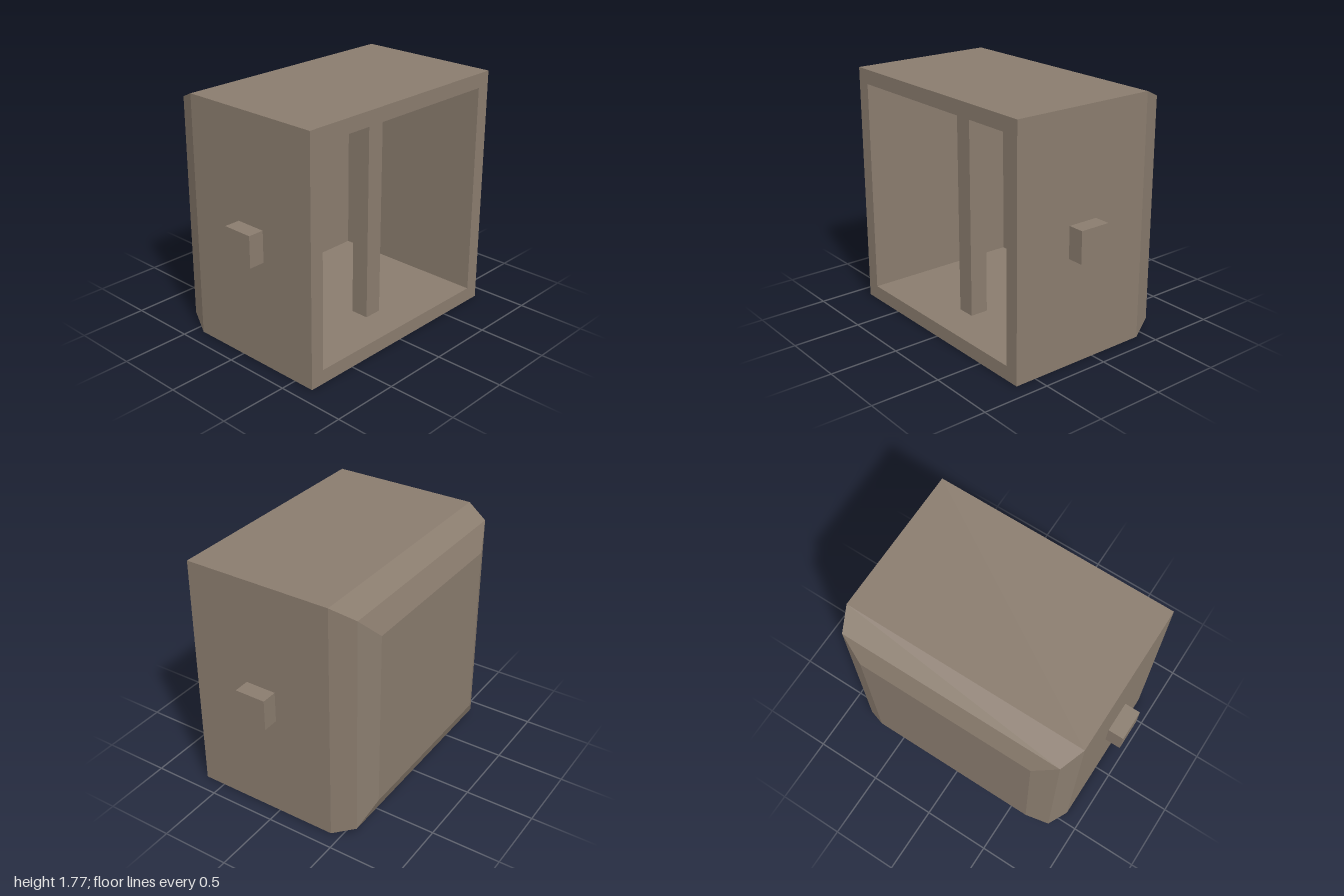
import * as THREE from 'three';

export function createModel() {
  const model = new THREE.Group();
  const taupe = new THREE.MeshStandardMaterial({ color: 0x8a7c6e });
  taupe.name = 'taupe';

  const H = 0.884; // half height and centre of the housing

  const add = (name, geometry, x, y, z) => {
    const mesh = new THREE.Mesh(geometry, taupe);
    mesh.name = name;
    mesh.position.set(x, y, z);
    model.add(mesh);
  };

  // Housing: square shell along x, bevelled at the closed end and hollow at +x.
  // Each profile point is [half width, x], from outer back to inner back.
  const profile = [
    [0, -0.658], [0.65, -0.658], [0.814, -0.59], [H, -0.427],
    [H, 0.656], [0.78, 0.656], [0.78, -0.56], [0, -0.56],
  ].map(([half, x]) => new THREE.Vector2(half * Math.SQRT2, x));
  const shell = new THREE.LatheGeometry(profile, 4, Math.PI / 4)
    .rotateZ(-Math.PI / 2)
    .toNonIndexed();
  shell.computeVertexNormals();
  add('housing', shell, 0, H, 0);

  // Upright post inside the opening, from floor to ceiling
  add('innerPost', new THREE.BoxGeometry(0.135, 1.56, 0.135), 0.332, H, 0.002);

  // Square pins on both sides
  for (const [name, side] of [['frontPin', 1], ['backPin', -1]]) {
    add(name, new THREE.BoxGeometry(0.227, 0.227, 0.13), 0.1135, H, side * 0.935);
  }

  return model;
}
